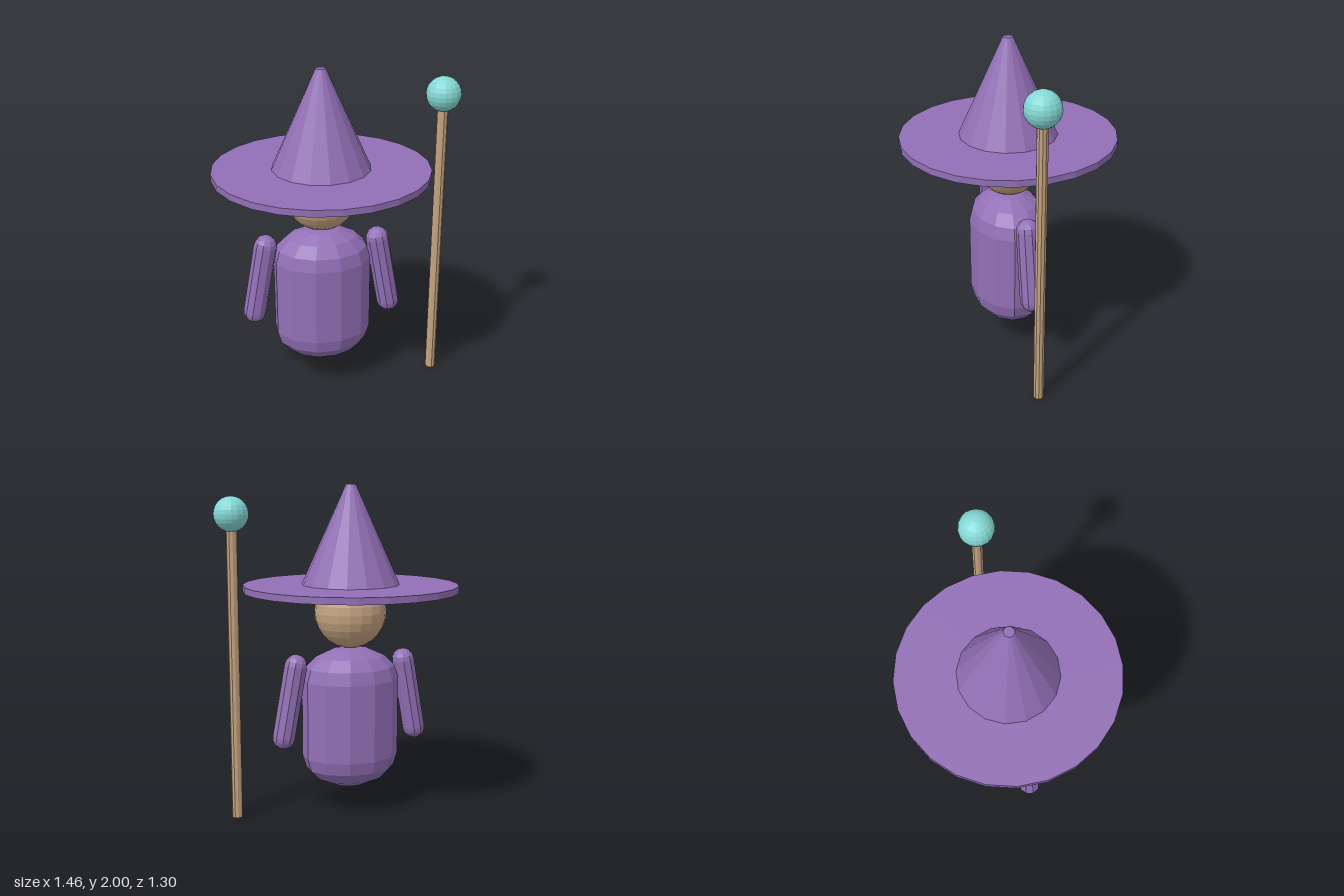
import * as THREE from 'three';

const CX = -0.083; // the figure's own axis; the staff stands to its left

const flat = (name, color) => {
  const m = new THREE.MeshStandardMaterial({ color, flatShading: true });
  m.name = name;
  return m;
};

export function createModel() {
  const purple = flat('purple cloth', 0x9270b6);
  const tan = flat('tan', 0xc4a380);
  const teal = flat('teal crystal', 0x84d8d5);

  const model = new THREE.Group();
  model.name = 'wizard';
  const add = (name, geometry, material, x, y, z = 0) => {
    const mesh = new THREE.Mesh(geometry, material);
    mesh.name = name;
    mesh.position.set(x, y, z);
    model.add(mesh);
    return mesh;
  };

  // Robe: squashed capsule, turned so a flat facet faces forward
  const robe = new THREE.CapsuleGeometry(0.3, 0.715, 4, 12).rotateY(Math.PI / 12);
  add('robe', robe, purple, CX, 0.592).scale.set(1, 0.667, 0.79);

  // Head, slightly narrower front to back
  add('head', new THREE.SphereGeometry(0.22, 20, 14), tan, CX, 1.243).scale.z = 0.935;

  // Hat
  add('hatBrim', new THREE.CylinderGeometry(0.648, 0.648, 0.04, 24), purple, CX, 1.39);
  add('hatCone', new THREE.CylinderGeometry(0.03, 0.295, 0.59, 16), purple, CX, 1.705);

  // Arms, splayed outward at the bottom
  for (const side of [1, -1]) {
    const arm = add(side > 0 ? 'leftArm' : 'rightArm',
      new THREE.CapsuleGeometry(0.071, 0.442, 4, 10), purple, CX + side * 0.384, 0.71);
    arm.rotation.z = side * 0.175;
  }

  // Staff with a crystal ball on top
  add('staff', new THREE.CylinderGeometry(0.032, 0.032, 1.8, 10), tan, 0.624, 0.9, 0.06);
  add('staffOrb', new THREE.SphereGeometry(0.103, 18, 12), teal, 0.624, 1.832, 0.06);

  return model;
}
